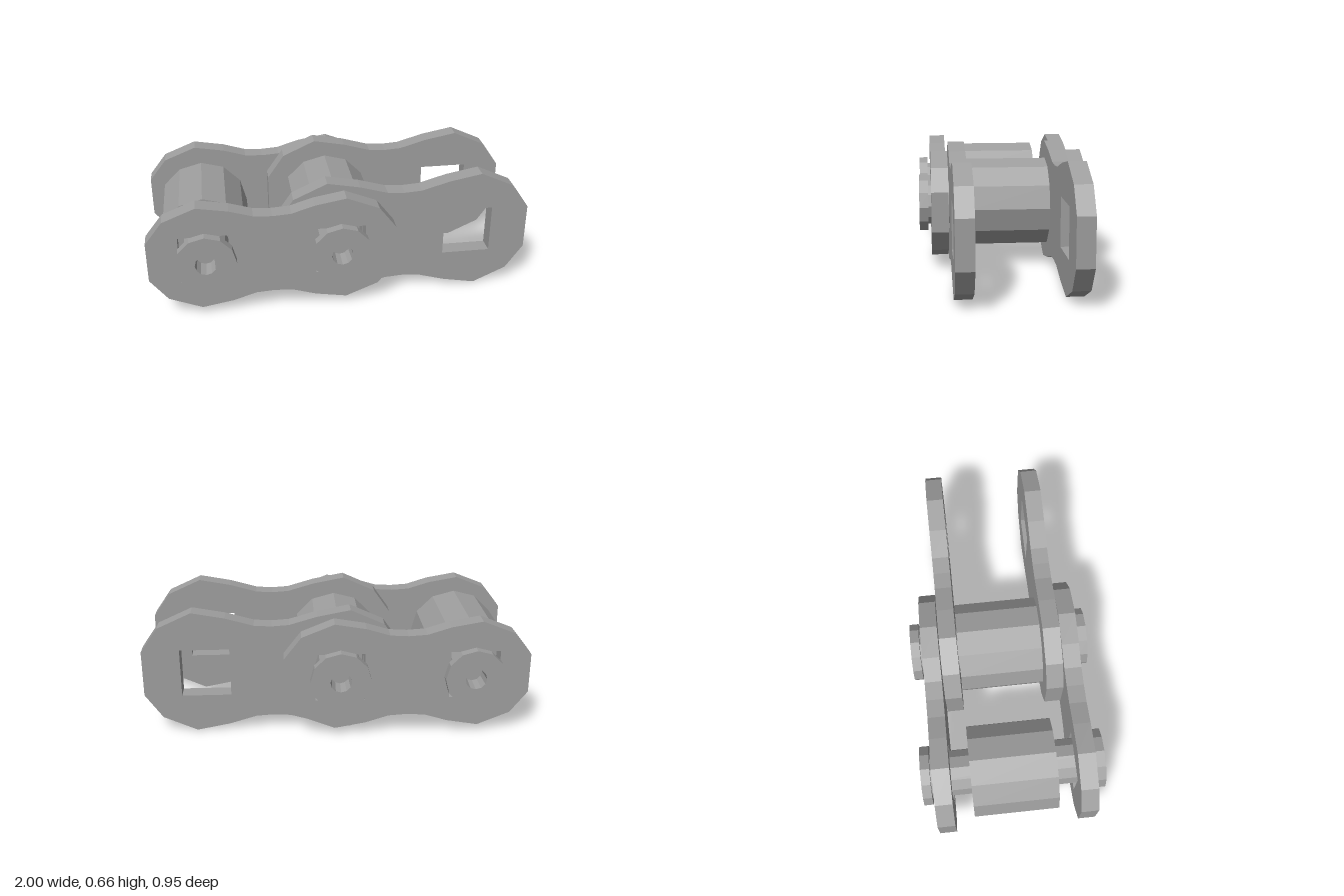
import * as THREE from 'three';

const MID_Y = 0.33;
const material = new THREE.MeshStandardMaterial({ color: 0x9e9e9e, flatShading: true });

// Waisted plate with two square holes, symmetric about its own centre.
// quarter: outline points (x, y) from the end tip to the middle of the waist.
function plateGeometry(quarter, holeOffset, thickness) {
  const half = [...quarter, ...quarter.slice(0, -1).reverse().map(([x, y]) => [-x, y])];
  const outline = [...half, ...half.slice().reverse().map(([x, y]) => [x, -y])];
  const shape = new THREE.Shape(outline.map(([x, y]) => new THREE.Vector2(x, y)));
  const s = 0.128;
  for (const cx of [-holeOffset, holeOffset]) {
    shape.holes.push(new THREE.Path([
      new THREE.Vector2(cx - s, -s), new THREE.Vector2(cx - s, s),
      new THREE.Vector2(cx + s, s), new THREE.Vector2(cx + s, -s),
    ]));
  }
  const geometry = new THREE.ExtrudeGeometry(shape, { depth: thickness, bevelEnabled: false });
  return geometry.translate(0, 0, -thickness / 2);
}

// Twelve-sided solid turned around the z axis
function turned(profile) {
  const points = profile.map(([r, h]) => new THREE.Vector2(r, h));
  return new THREE.LatheGeometry(points, 12).rotateX(Math.PI / 2);
}

export function createModel() {
  const group = new THREE.Group();
  const add = (name, geometry, x, z) => {
    const mesh = new THREE.Mesh(geometry, material);
    mesh.name = name;
    mesh.position.set(x, MID_Y, z);
    group.add(mesh);
  };

  // Side plates: a narrower outer pair and a taller inner pair
  const outerPlate = plateGeometry(
    [[0.635, 0.106], [0.545, 0.222], [0.376, 0.29], [0.215, 0.262], [0.095, 0.225], [0, 0.219]],
    0.348, 0.09);
  const innerPlate = plateGeometry(
    [[0.67, 0.121], [0.58, 0.25], [0.405, 0.33], [0.235, 0.298], [0.09, 0.256], [0, 0.25]],
    0.347, 0.09);
  for (const side of [-1, 1]) {
    add('outerPlate', outerPlate, -0.365, side * 0.366);
    add('innerPlate', innerPlate, 0.33, side * 0.27);
  }

  // Pins with flanged heads and a slightly tapered blind hole in each end
  const lowerHalf = [
    [0, -0.375], [0.05, -0.375], [0.055, -0.475], [0.156, -0.475], [0.156, -0.427], [0.12, -0.427],
  ];
  const pin = turned([...lowerHalf, ...lowerHalf.slice().reverse().map(([r, h]) => [r, -h])]);

  // Rollers sleeved over the pins
  const roller = turned([[0.12, -0.22], [0.241, -0.22], [0.241, 0.22], [0.12, 0.22]]);

  for (const x of [-0.708, -0.018]) {
    add('pin', pin, x, 0);
    add('roller', roller, x, 0);
  }
  return group;
}
